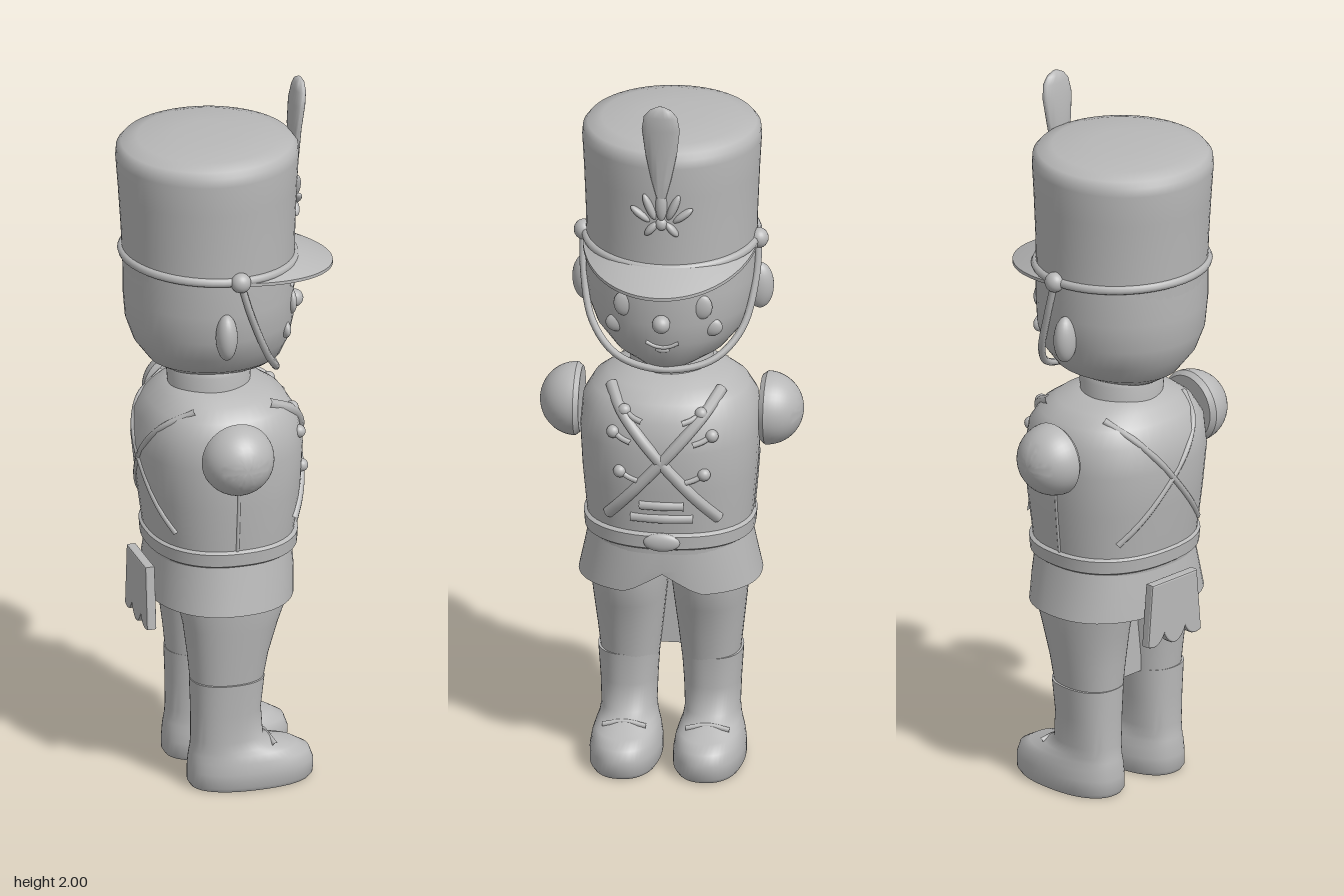
import * as THREE from 'three';
import { toCreasedNormals } from 'three/addons/utils/BufferGeometryUtils.js';

const grey = new THREE.MeshStandardMaterial({ color: 0xb8b8b8 });
grey.name = 'plain grey';

// Section = [y, half width, back z, front z]; interpolated between rows
function sectionAt(rows, y) {
  let i = 0;
  while (i < rows.length - 2 && y > rows[i + 1][0]) i++;
  const t = THREE.MathUtils.clamp((y - rows[i][0]) / (rows[i + 1][0] - rows[i][0]), 0, 1);
  return rows[i].map((v, k) => v + (rows[i + 1][k] - v) * t);
}

// Point on a section outline; angle 0 faces +z, n is roundness
function outline([y, rx, zb, zf], a, n) {
  const p = (v) => Math.sign(v) * Math.abs(v) ** (2 / n);
  return [rx * p(Math.sin(a)), y, (zb + zf) / 2 + ((zf - zb) / 2) * p(Math.cos(a))];
}

// Depth of the front (side 1) or back (side -1) surface at x, y
function depth(rows, x, y, n = 2, side = 1) {
  const [, rx, zb, zf] = sectionAt(rows, y);
  const k = Math.max(0, 1 - Math.min(1, Math.abs(x) / rx) ** n) ** (1 / n);
  return (zb + zf) / 2 + side * ((zf - zb) / 2) * k;
}

// Closed solid through stacked sections
function loft(rows, n = 2, bend = (p) => p, crease = 0.8, seg = 48) {
  const pos = [], idx = [];
  for (const row of rows)
    for (let j = 0; j < seg; j++) pos.push(...bend(outline(row, (j / seg) * Math.PI * 2, n)));
  for (let i = 0; i < rows.length - 1; i++)
    for (let j = 0; j < seg; j++) {
      const k = (j + 1) % seg, a = i * seg, b = a + seg;
      idx.push(a + j, a + k, b + k, a + j, b + k, b + j);
    }
  const last = (rows.length - 1) * seg, c = pos.length / 3;
  for (const r of [rows[0], rows[rows.length - 1]]) pos.push(0, r[0], (r[2] + r[3]) / 2);
  for (let j = 0; j < seg; j++) {
    const k = (j + 1) % seg;
    idx.push(c, k, j, c + 1, last + j, last + k);
  }
  const g = new THREE.BufferGeometry();
  g.setAttribute('position', new THREE.Float32BufferAttribute(pos, 3));
  g.setIndex(idx);
  return toCreasedNormals(g, crease);
}

function tube(points, r, closed = false) {
  const curve = new THREE.CatmullRomCurve3(points.map((p) => new THREE.Vector3(...p)), closed);
  return new THREE.TubeGeometry(curve, 48, r, 8, closed);
}

const HEAD = [[1.185, 0.05, -0.1, 0.09], [1.195, 0.1, -0.165, 0.13], [1.225, 0.155, -0.212, 0.155],
  [1.28, 0.203, -0.253, 0.175], [1.34, 0.226, -0.274, 0.186], [1.42, 0.235, -0.28, 0.187], [1.52, 0.235, -0.28, 0.187]];
const HAT = [[1.49, 0.232, -0.28, 0.188], [1.6, 0.234, -0.285, 0.19], [1.72, 0.239, -0.293, 0.195], [1.81, 0.244, -0.3, 0.2],
  [1.835, 0.242, -0.298, 0.198], [1.85, 0.23, -0.285, 0.185], [1.862, 0.19, -0.24, 0.145], [1.87, 0.09, -0.14, 0.04]];
const TORSO = [[0.66, 0.22, -0.212, 0.175], [0.74, 0.228, -0.222, 0.182], [0.85, 0.238, -0.237, 0.198], [0.97, 0.245, -0.25, 0.204],
  [1.05, 0.238, -0.24, 0.19], [1.095, 0.212, -0.212, 0.162], [1.125, 0.17, -0.182, 0.12], [1.15, 0.11, -0.15, 0.06]];
const BOOT = [[0, 0.09, -0.132, 0.2], [0.012, 0.097, -0.14, 0.21], [0.05, 0.097, -0.14, 0.211], [0.08, 0.092, -0.138, 0.2],
  [0.1, 0.085, -0.135, 0.165], [0.113, 0.079, -0.132, 0.105], [0.14, 0.075, -0.13, 0.068], [0.22, 0.078, -0.13, 0.062], [0.312, 0.084, -0.133, 0.072]];
const TROUSER = [[0.28, 0.078, -0.128, 0.066], [0.38, 0.089, -0.138, 0.085], [0.47, 0.099, -0.15, 0.112], [0.54, 0.106, -0.167, 0.138], [0.62, 0.108, -0.18, 0.142]];

export function createModel() {
  const root = new THREE.Group();
  const body = new THREE.Group();
  body.name = 'toySoldier';
  body.rotation.y = Math.PI / 2; // the figure looks towards +x
  root.add(body);
  const add = (name, geo, x = 0, y = 0, z = 0) => {
    const m = new THREE.Mesh(geo, grey);
    m.name = name;
    m.position.set(x, y, z);
    body.add(m);
    return m;
  };
  const blob = (name, x, y, z, rx, ry, rz, tilt = 0) => {
    const m = add(name, new THREE.SphereGeometry(1, 24, 16), x, y, z);
    m.scale.set(rx, ry, rz);
    m.rotation.z = tilt;
    return m;
  };
  const onFace = (x, y, out = 0) => [x, y, depth(HEAD, x, y) + out];
  const onChest = (x, y, out = 0, side = 1) => [x, y, depth(TORSO, x, y, 2.3, side) + out * side];

  // Head, hat and collar
  add('head', loft(HEAD));
  add('hat', loft(HAT, 2, (p) => p, 1, 64));
  add('collar', loft([[1.1, 0.125, -0.17, 0.08], [1.14, 0.113, -0.158, 0.067], [1.19, 0.116, -0.162, 0.07], [1.205, 0.11, -0.155, 0.063]], 2));
  const ring = (rows, y, grow, n, slope = 0) => Array.from({ length: 32 }, (_, i) => {
    const [, rx, zb, zf] = sectionAt(rows, y);
    const p = outline([y, rx + grow, zb - grow, zf + grow], (i / 32) * Math.PI * 2, n);
    return [p[0], y - slope * p[2], p[2]];
  });
  add('hatCord', tube(ring(HAT, 1.52, 0, 2, 0.05), 0.013, true));

  // Peaked visor: a wedge section swept round the hat front
  const vp = [], vi = [], N = 40;
  for (let i = 0; i <= N; i++) {
    const a = (i / N - 0.5) * Math.PI * 0.96, s = Math.sin(a), c = Math.cos(a);
    const inner = [0.215 * s, -0.046 + 0.22 * c], outer = [0.24 * s, -0.046 + 0.346 * c];
    const mid = inner.map((v, k) => v * 0.45 + outer[k] * 0.55);
    const drop = 0.05 * c;
    [[inner, 1.528], [mid, 1.522 - drop * 0.45], [outer, 1.522 - drop], [outer, 1.513 - drop], [inner, 1.503 - drop * 0.5]]
      .forEach(([q, y]) => vp.push(q[0], y, q[1]));
    if (i < N) for (let k = 0; k < 5; k++) {
      const A = i * 5 + k, B = i * 5 + (k + 1) % 5;
      vi.push(A, B, B + 5, A, B + 5, A + 5);
    }
  }
  const visor = new THREE.BufferGeometry();
  visor.setAttribute('position', new THREE.Float32BufferAttribute(vp, 3));
  visor.setIndex(vi);
  add('visor', toCreasedNormals(visor, 0.7));

  // Feather and hat emblem
  add('feather', loft([[1.72, 0.012, 0.185, 0.205], [1.78, 0.028, 0.182, 0.21], [1.86, 0.044, 0.182, 0.214], [1.93, 0.052, 0.187, 0.223],
    [1.97, 0.046, 0.195, 0.226], [1.99, 0.03, 0.2, 0.224], [2, 0.01, 0.208, 0.218]], 2, (p) => p, 1.2, 24));
  const onHat = (x, y) => depth(HAT, x, y);
  [[0, 1.7, 0.016, 0.045, 0], [0.033, 1.695, 0.012, 0.04, -0.4], [0.058, 1.67, 0.011, 0.034, -0.9], [0.028, 1.63, 0.011, 0.026, 0.7]].forEach(([x, y, w, h, t]) => {
    for (const s of x ? [1, -1] : [1]) blob('emblemPetal', s * x, y, onHat(x, y), w, h, 0.014, s * t);
  });
  blob('emblemCentre', 0, 1.645, onHat(0, 1.645), 0.016, 0.018, 0.014);

  // Face
  blob('nose', 0, 1.35, 0.197, 0.025, 0.025, 0.026);
  add('mouth', tube([-0.045, -0.02, 0, 0.02, 0.045].map((x) => onFace(x, 1.272 + 7 * x * x, 0)), 0.006));
  blob('lowerLip', 0, 1.262, depth(HEAD, 0, 1.262) - 0.003, 0.02, 0.009, 0.008);

  for (const s of [1, -1]) {
    blob('eye', s * 0.105, 1.39, depth(HEAD, 0.105, 1.39) - 0.006, 0.03, 0.036, 0.014);
    blob('cheek', s * 0.13, 1.322, depth(HEAD, 0.13, 1.322) - 0.008, 0.03, 0.026, 0.014);
    add('eyebrow', tube([0.07, 0.1, 0.135].map((x, i) => onFace(s * x, [1.445, 1.457, 1.442][i], 0)), 0.007));
    const ear = blob('ear', s * 0.238, 1.365, -0.07, 0.038, 0.066, 0.03);
    ear.rotation.y = s * 0.25;
    blob('strapButton', s * 0.24, 1.522, -0.03, 0.026, 0.028, 0.028);

    // Arm stub: flat inner face with a domed outside
    const dome = [new THREE.Vector2(0, 0), new THREE.Vector2(0.09, 0)];
    for (let i = 0; i <= 14; i++) {
      const a = (i / 14) * Math.PI / 2;
      dome.push(new THREE.Vector2(0.101 * Math.cos(a), 0.014 + 0.1 * Math.sin(a)));
    }
    const arm = add('armStub', toCreasedNormals(new THREE.LatheGeometry(dome, 40), 0.7), s * 0.246, 1.013, -0.047);
    arm.rotation.z = -s * Math.PI / 2;

    // Leg and boot
    add('trouserLeg', loft(TROUSER, 2.2), s * 0.11, 0, 0);
    add('boot', loft(BOOT, 2.3, (p) => p, 0.9), s * 0.114, 0, 0);
    add('bootWelt', tube([[-0.06, 0.112, 0.09], [0, 0.12, 0.085], [0.06, 0.112, 0.09]], 0.008), s * 0.114);

    // Crossed straps, front and back
    for (const side of [1, -1]) {
      const pts = Array.from({ length: 9 }, (_, i) => onChest(s * (0.15 - 0.3 * i / 8), 1.115 - 0.35 * i / 8, -0.004, side));
      add('crossStrap', tube(pts, side > 0 ? 0.017 : 0.01));
    }
    // Chest buttons with cord loops
    [[0.105, 1.075], [0.135, 1.015], [0.115, 0.905]].forEach(([x, y]) => {
      blob('chestButton', ...onChest(s * x, y), 0.018, 0.018, 0.018);
      add('cordLoop', tube([onChest(s * x, y), onChest(s * (x - 0.025), y - 0.014), onChest(s * (x - 0.05), y - 0.022)], 0.008));
    });
    // Side seam
    add('sideSeam', tube([0.7, 0.8, 0.9].map((y) => [s * (sectionAt(TORSO, y)[1] - 0.002), y, -0.035]), 0.005));
  }
  add('chinStrap', tube([[-0.24, 1.52, -0.03], [-0.236, 1.42, 0.0], [-0.205, 1.29, 0.055], [-0.13, 1.213, 0.105], [0, 1.187, 0.128],
    [0.13, 1.213, 0.105], [0.205, 1.29, 0.055], [0.236, 1.42, 0.0], [0.24, 1.52, -0.03]], 0.01));

  // Coat, belt and skirt with a notch in the front hem
  add('coat', loft(TORSO, 2.3, (p) => p, 1));
  add('belt', loft([[0.675, 0.222, -0.214, 0.178], [0.682, 0.232, -0.224, 0.188], [0.718, 0.235, -0.227, 0.19], [0.726, 0.225, -0.218, 0.18]], 2.3));
  blob('beltBuckle', 0, 0.7, 0.187, 0.05, 0.026, 0.014);
  const notch = ([x, y, z]) => [x, y + (z > 0.05 && y < 0.58 ? 0.06 * Math.max(0, 1 - Math.abs(x) / 0.1) : 0), z];
  add('coatSkirt', loft([[0.57, 0.1, -0.1, 0.04], [0.55, 0.235, -0.21, 0.16], [0.54, 0.25, -0.226, 0.175], [0.61, 0.235, -0.22, 0.177], [0.69, 0.219, -0.21, 0.173]], 2.3, notch));
  [0.81, 0.77].forEach((y, i) => {
    const w = 0.06 + 0.025 * i;
    add('chestBar', tube([-w, 0, w].map((x) => onChest(x, y, -0.002)), 0.014));
  });
  add('innerLegWeb', new THREE.BoxGeometry(0.07, 0.24, 0.05), 0, 0.43, -0.06);

  // Pouch hanging behind, with a scalloped lower edge
  const pouch = new THREE.Shape();
  pouch.moveTo(-0.08, 0.64);
  pouch.lineTo(-0.095, 0.47);
  pouch.quadraticCurveTo(-0.06, 0.455, -0.04, 0.5);
  pouch.quadraticCurveTo(0, 0.42, 0.04, 0.5);
  pouch.quadraticCurveTo(0.06, 0.455, 0.095, 0.47);
  pouch.lineTo(0.08, 0.64);
  add('backPouch', new THREE.ExtrudeGeometry(pouch, { depth: 0.018, bevelEnabled: true, bevelSize: 0.005, bevelThickness: 0.005, bevelSegments: 2 }), 0, 0, -0.248);
  return root;
}
